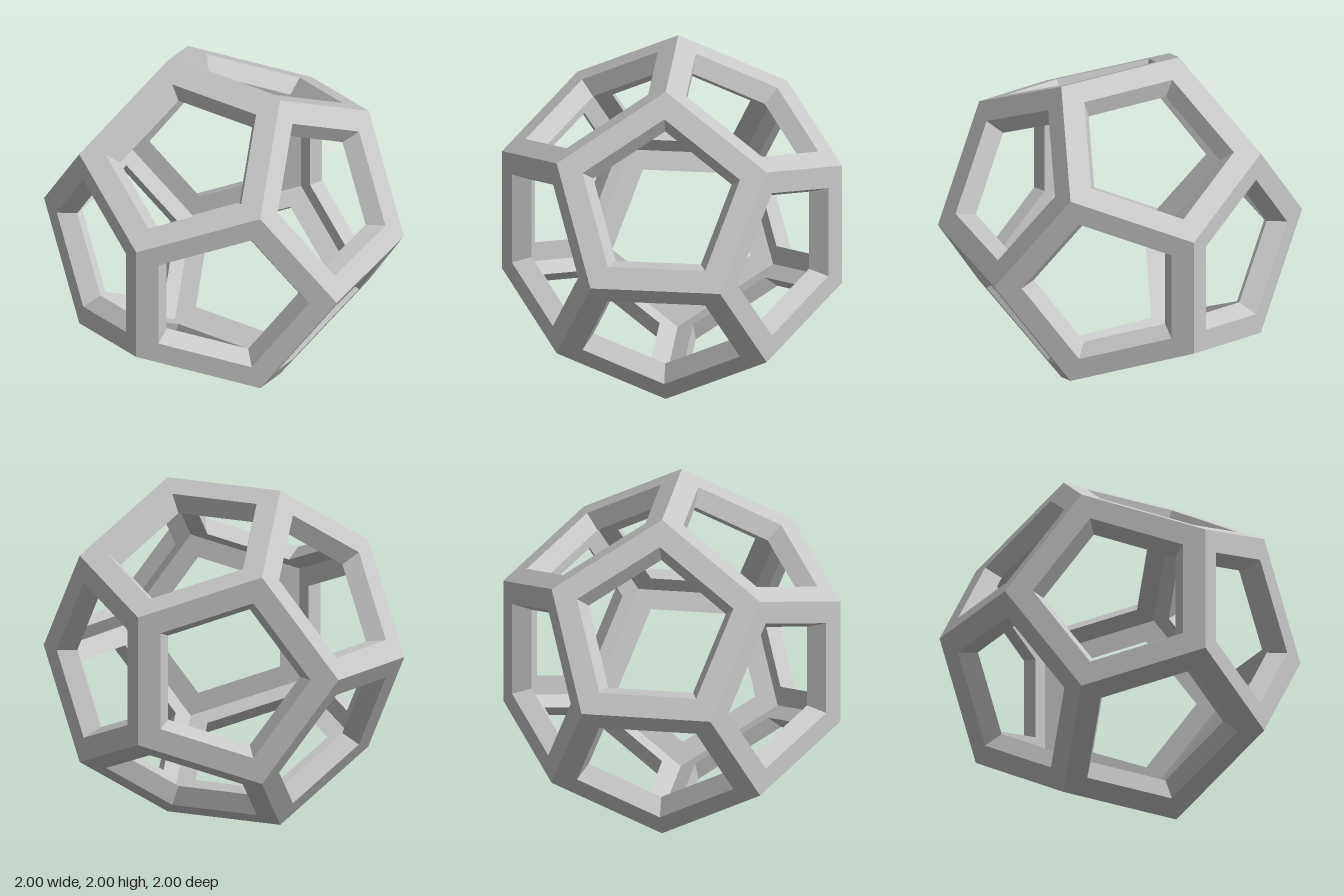
import * as THREE from 'three';

const PHI = (1 + Math.sqrt(5)) / 2;
const OPENING = 0.75; // window size relative to its pentagon
const INNER = 0.877;  // inner shell size relative to the outer shell

// all sign and cyclic variations of (0, a, b)
function cyclic(a, b) {
  const out = [];
  for (const s of [-1, 1]) for (const t of [-1, 1]) {
    out.push(new THREE.Vector3(0, s * a, t * b));
    out.push(new THREE.Vector3(t * b, 0, s * a));
    out.push(new THREE.Vector3(s * a, t * b, 0));
  }
  return out;
}

// the twenty corners of a dodecahedron with half-width 1
function dodecahedronCorners() {
  const corners = cyclic(1 / (PHI * PHI), 1);
  const c = 1 / PHI;
  for (const x of [-c, c]) for (const y of [-c, c]) for (const z of [-c, c]) {
    corners.push(new THREE.Vector3(x, y, z));
  }
  return corners;
}

// one pentagonal frame: outer face, sloping window walls and inner face
function frameGeometry(direction, corners) {
  const n = direction.clone().normalize();
  const center = direction.clone().multiplyScalar(PHI / direction.lengthSq());
  const ring = corners.filter((p) => Math.abs(p.dot(direction) - PHI) < 0.01);

  // order corners counter-clockwise seen from outside
  const u = ring[0].clone().sub(center).normalize();
  const v = n.clone().cross(u);
  const angle = (p) => {
    const d = p.clone().sub(center);
    return Math.atan2(d.dot(v), d.dot(u));
  };
  ring.sort((p, q) => angle(p) - angle(q));

  const hole = ring.map((p) => center.clone().lerp(p, OPENING));
  const shrink = (p) => p.clone().multiplyScalar(INNER);
  const rings = [ring, hole, hole.map(shrink), ring.map(shrink)];

  const points = [];
  for (let r = 0; r < 3; r++) {
    for (let i = 0; i < 5; i++) {
      const j = (i + 1) % 5;
      const [a, b, c, d] = [rings[r][i], rings[r][j], rings[r + 1][j], rings[r + 1][i]];
      points.push(a, b, c, a, c, d);
    }
  }
  const geometry = new THREE.BufferGeometry().setFromPoints(points);
  geometry.computeVertexNormals();
  return geometry;
}

export function createModel() {
  const group = new THREE.Group();
  group.name = 'dodecahedronFrame';
  const grey = new THREE.MeshStandardMaterial({ color: 0xc8c8c8 });
  grey.name = 'light grey';

  const corners = dodecahedronCorners();
  cyclic(PHI, 1).forEach((direction, i) => {
    const mesh = new THREE.Mesh(frameGeometry(direction, corners), grey);
    mesh.name = `pentagonFrame${i + 1}`;
    mesh.position.y = 1;
    group.add(mesh);
  });
  return group;
}
